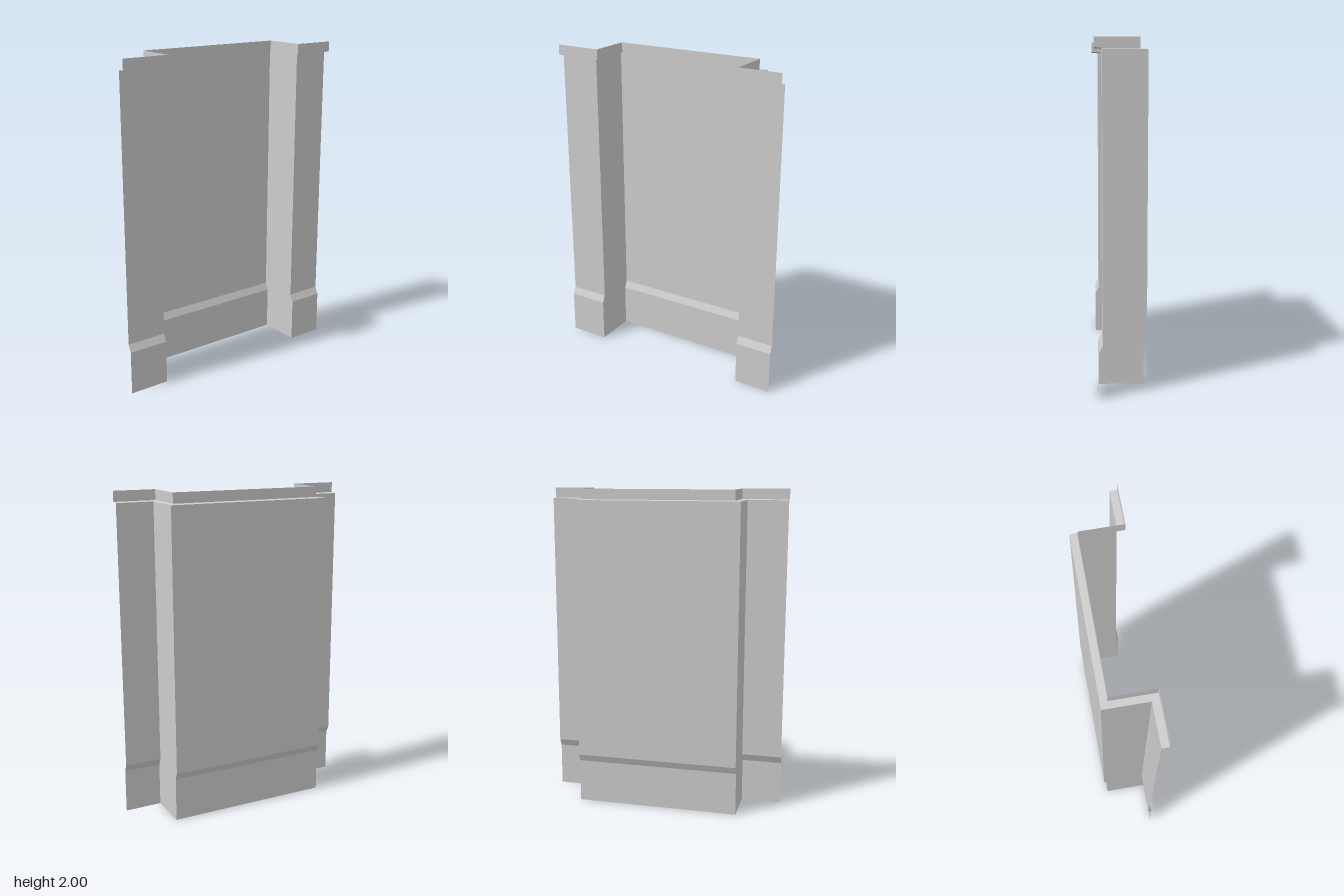
import * as THREE from 'three';

// Plan outline of the folded sheet, from its right end (-x) to its left end (+x)
const outline = (y, xr, xl, front, back) => [
  [-0.75, y, front], [xr, y, front], [xr, y, back],
  [xl, y, back], [xl, y, front], [0.75, y, front],
];

// Flat-faced strip joining two outlines
function strip(name, low, high, material) {
  const p = [];
  for (let i = 0; i < low.length - 1; i++) {
    const [a, b, c, d] = [low[i], low[i + 1], high[i + 1], high[i]];
    p.push(...a, ...b, ...c, ...a, ...c, ...d);
  }
  const geometry = new THREE.BufferGeometry();
  geometry.setAttribute('position', new THREE.Float32BufferAttribute(p, 3));
  geometry.computeVertexNormals();
  const mesh = new THREE.Mesh(geometry, material);
  mesh.name = name;
  return mesh;
}

export function createModel() {
  const group = new THREE.Group();
  group.name = 'recessedWallPanel';
  const material = new THREE.MeshStandardMaterial({
    color: 0xcccccc, flatShading: true, side: THREE.DoubleSide,
  });

  // Outlines from the floor to the top edge
  const rows = [
    outline(0, -0.5, 0.52, 0.132, -0.132),
    outline(0.27, -0.5, 0.52, 0.132, -0.132),
    outline(0.315, -0.5, 0.52, 0.11, -0.152),
    outline(1.933, -0.5, 0.52, 0.11, -0.152),
    outline(1.937, -0.46, 0.49, 0.152, -0.11),
    outline(2, -0.46, 0.49, 0.152, -0.11),
  ];
  const names = ['skirting', 'skirtingBevel', 'wall', 'trimLedge', 'topTrim'];
  names.forEach((name, i) => group.add(strip(name, rows[i], rows[i + 1], material)));
  return group;
}
